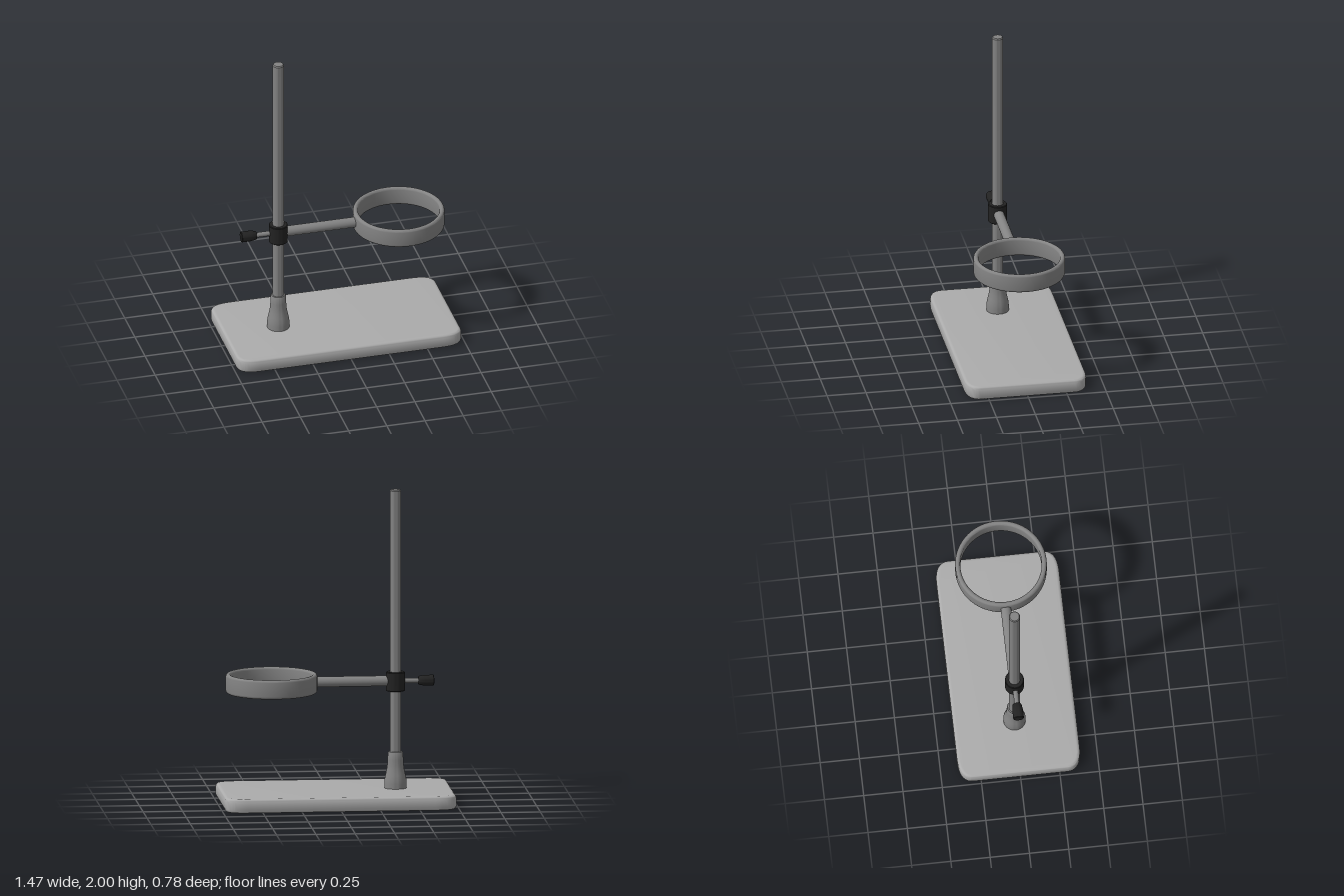
import * as THREE from 'three';
import { toCreasedNormals } from 'three/addons/utils/BufferGeometryUtils.js';

const POLE_X = -0.378, ARM_Y = 0.772;

export function createModel() {
  const model = new THREE.Group();
  const plateGrey = new THREE.MeshStandardMaterial({ color: 0xababab });
  const steel = new THREE.MeshStandardMaterial({ color: 0x838383 });
  const black = new THREE.MeshStandardMaterial({ color: 0x222222 });

  const add = (name, geometry, material, x = 0, y = 0, z = 0) => {
    const mesh = new THREE.Mesh(geometry, material);
    mesh.name = name;
    mesh.position.set(x, y, z);
    model.add(mesh);
  };
  // Turned part from [radius, height] pairs
  const turned = (points, segments = 48) => toCreasedNormals(
    new THREE.LatheGeometry(points.map(([r, y]) => new THREE.Vector2(r, y)), segments), 0.6);

  // Base plate with rounded corners and softened edges
  const bevel = 0.02, w = 0.735 - bevel, d = 0.39 - bevel, cx = 0.12, cz = 0.07;
  const outline = new THREE.Shape();
  outline.moveTo(-w + cx, -d);
  outline.lineTo(w - cx, -d);
  outline.quadraticCurveTo(w, -d, w, -d + cz);
  outline.lineTo(w, d - cz);
  outline.quadraticCurveTo(w, d, w - cx, d);
  outline.lineTo(-w + cx, d);
  outline.quadraticCurveTo(-w, d, -w, d - cz);
  outline.lineTo(-w, -d + cz);
  outline.quadraticCurveTo(-w, -d, -w + cx, -d);
  const plate = new THREE.ExtrudeGeometry(outline, {
    depth: 0.09 - 2 * bevel, bevelSize: bevel, bevelThickness: bevel, bevelSegments: 4, curveSegments: 10,
  });
  plate.rotateX(-Math.PI / 2).translate(0, bevel, 0);
  add('base', toCreasedNormals(plate, 0.6), plateGrey);

  // Flared socket holding the pole
  add('poleSocket', turned([
    [0, 0.08], [0.071, 0.08], [0.071, 0.12], [0.069, 0.145], [0.063, 0.175], [0.056, 0.205],
    [0.052, 0.235], [0.05, 0.27], [0.048, 0.315], [0.044, 0.322], [0, 0.322],
  ]), steel, POLE_X);

  // Upright pole with a slightly chamfered tip
  add('pole', turned([[0, 0.09], [0.035, 0.09], [0.035, 1.993], [0.03, 2], [0, 2]]), steel, POLE_X);

  // Clamp collar around the pole
  add('clampCollar', turned([
    [0.034, -0.061], [0.056, -0.061], [0.06, -0.057], [0.06, 0.057], [0.056, 0.061], [0.034, 0.061],
  ]), black, POLE_X, ARM_Y);

  // Horizontal arm from the clamp to the ring
  const arm = new THREE.CylinderGeometry(0.033, 0.033, 0.46, 32).rotateZ(Math.PI / 2);
  add('supportArm', arm, steel, -0.1, ARM_Y + 0.003);

  // Support ring: a tall band with fully rounded rims
  const mid = 0.274, r = 0.016, straight = 0.045, band = [];
  for (let i = 0; i <= 16; i++) {
    const a = Math.PI + Math.PI * i / 8;
    band.push([mid + r * Math.cos(a), (i <= 8 ? -straight : straight) + r * Math.sin(a)]);
    if (i === 8) band.push([mid + r, straight]);
  }
  band.push([mid - r, -straight]);
  add('supportRing', turned(band, 80), steel, 0.41, ARM_Y);

  // Thumb screw: thin shaft and tapered knob pointing away from the ring
  const shaft = new THREE.CylinderGeometry(0.016, 0.016, 0.14, 24).rotateZ(Math.PI / 2);
  add('screwShaft', shaft, steel, -0.48, ARM_Y + 0.003);
  const knob = turned([
    [0, 0], [0.024, 0], [0.028, 0.005], [0.034, 0.04], [0.034, 0.097], [0.031, 0.1], [0, 0.1],
  ], 32).rotateZ(Math.PI / 2);
  add('screwKnob', knob, black, -0.522, ARM_Y + 0.003);

  return model;
}
